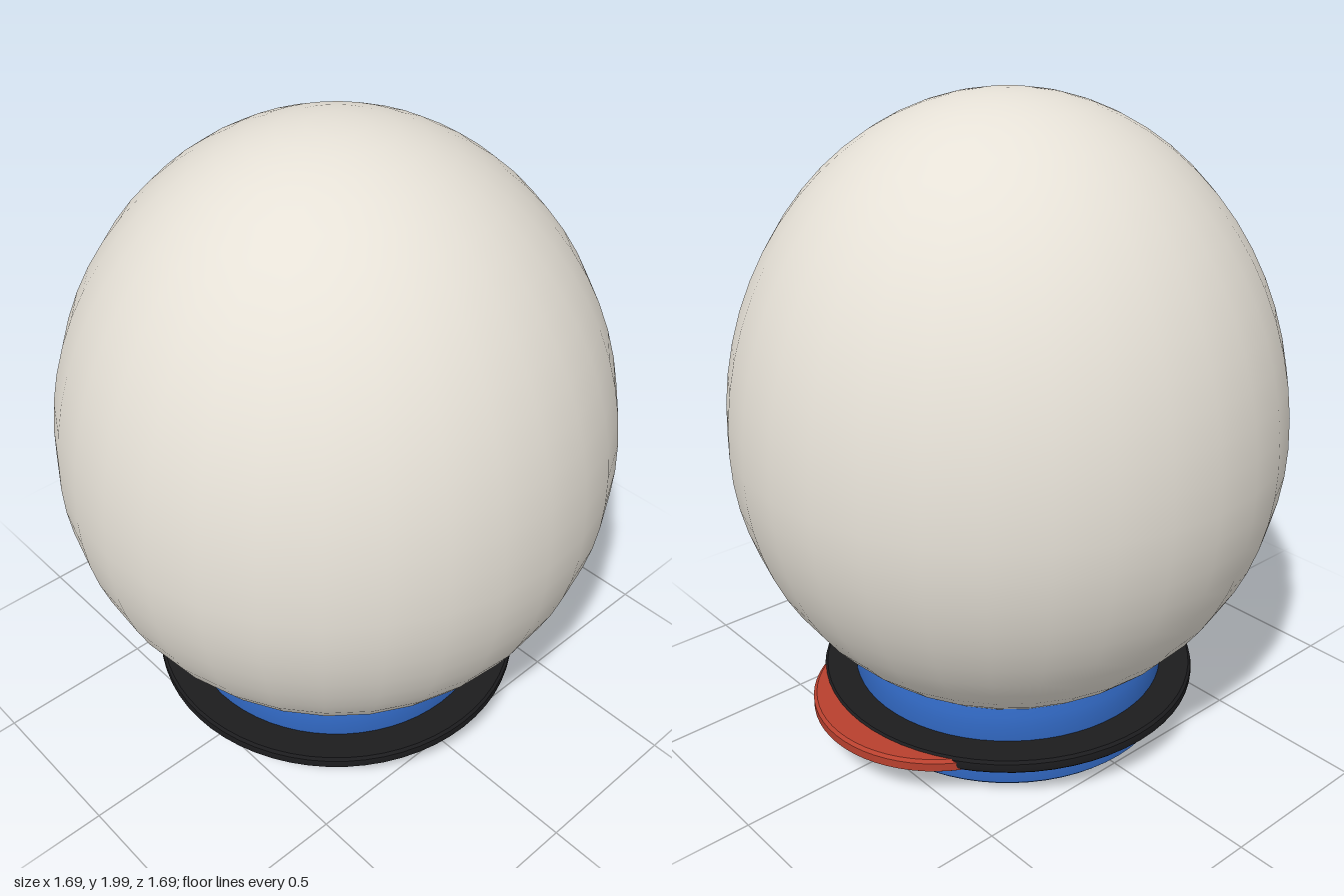
import * as THREE from 'three';
import { toCreasedNormals } from 'three/addons/utils/BufferGeometryUtils.js';

const paint = (color) => new THREE.MeshStandardMaterial({ color });

function addMesh(group, name, geometry, material) {
  const mesh = new THREE.Mesh(geometry, material);
  mesh.name = name;
  group.add(mesh);
  return mesh;
}

// Turned part from [radius, y] pairs, listed from the bottom upwards
function turned(profile, segments = 64) {
  const points = profile.map(([r, y]) => new THREE.Vector2(r, y));
  return toCreasedNormals(new THREE.LatheGeometry(points, segments), 0.6);
}

export function createModel() {
  const model = new THREE.Group();
  model.name = 'eggOnStand';
  const cream = paint(0xe6e1d7);
  const blue = paint(0x2f64bb);
  const black = paint(0x1c1c1e);
  const red = paint(0xb8402e);
  const grey = paint(0xcccccc);

  // Egg: a sphere, taller above its widest line than below it
  const egg = new THREE.SphereGeometry(0.845, 32, 32);
  const pos = egg.attributes.position;
  const nor = egg.attributes.normal;
  for (let i = 0; i < pos.count; i++) {
    const k = (pos.getY(i) > 0 ? 1 : 0.875) / 0.845;
    pos.setY(i, 1 + pos.getY(i) * k);
    const n = new THREE.Vector3(nor.getX(i), nor.getY(i) / k, nor.getZ(i)).normalize();
    nor.setXYZ(i, n.x, n.y, n.z);
  }
  addMesh(model, 'egg', egg, cream);

  // Stand: wide foot below and a rounded collar holding the egg
  addMesh(model, 'foot', turned([
    [0, 0.034], [0.505, 0.034], [0.515, 0.044], [0.515, 0.13], [0.505, 0.145], [0, 0.145],
  ]), blue);
  addMesh(model, 'collar', turned([
    [0.5, 0.14], [0.499, 0.19], [0.495, 0.225], [0.487, 0.255], [0.474, 0.282], [0.44, 0.282],
  ]), blue);

  // Flat ring around the stand
  addMesh(model, 'ring', turned([
    [0.48, 0.14], [0.592, 0.14], [0.6, 0.148], [0.602, 0.161], [0.6, 0.174], [0.592, 0.182], [0.48, 0.182],
  ]), black);

  // Round tab that shows as a crescent behind the ring
  const tab = addMesh(model, 'rearTab', turned([
    [0, 0.134], [0.39, 0.134], [0.4, 0.142], [0.4, 0.168], [0.39, 0.176], [0, 0.176],
  ]), red);
  tab.position.z = -0.285;

  // Small parts peeping out under the foot
  const wheel = addMesh(model, 'frontWheel',
    new THREE.CylinderGeometry(0.14, 0.14, 0.068, 48).rotateX(Math.PI / 2), grey);
  wheel.position.set(0, 0.151, 0.322);
  wheel.rotation.x = 0.13;
  const stud = addMesh(model, 'rearStud', new THREE.SphereGeometry(0.036, 24, 12), grey);
  stud.scale.y = 0.2;
  stud.position.set(0, 0.034, -0.135);

  return model;
}
